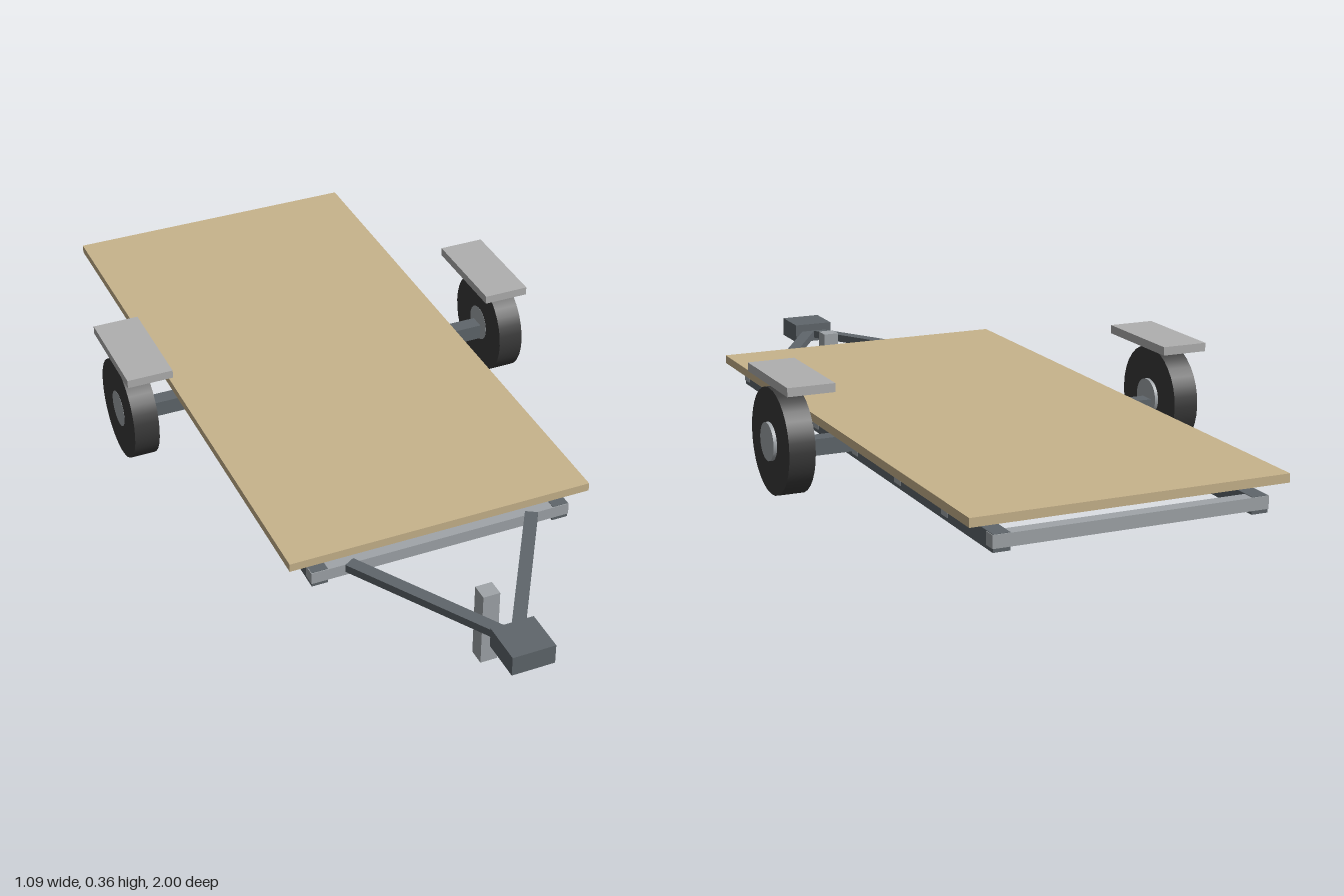
import * as THREE from 'three';

const mat = (color) => new THREE.MeshStandardMaterial({ color });

export function createModel() {
  const trailer = new THREE.Group();
  trailer.name = 'flatbedTrailer';

  const wood = mat(0xc8b48c);
  const darkSteel = mat(0x5f666b);
  const lightSteel = mat(0xa0a5a9);
  const fenderGrey = mat(0xb0b0b0);
  const rubber = mat(0x3a3a3a);

  const add = (name, geometry, material, x, y, z) => {
    const mesh = new THREE.Mesh(geometry, material);
    mesh.name = name;
    mesh.position.set(x, y, z);
    trailer.add(mesh);
    return mesh;
  };
  const box = (name, material, w, h, d, x, y, z) =>
    add(name, new THREE.BoxGeometry(w, h, d), material, x, y, z);
  // Cylinder lying along x
  const disc = (name, material, radius, width, x, y, z) =>
    add(name, new THREE.CylinderGeometry(radius, radius, width, 32).rotateZ(Math.PI / 2), material, x, y, z);

  // Load deck
  box('deck', wood, 0.768, 0.021, 1.54, 0, 0.205, -0.23);

  // Ladder frame: the cross members show at the outer rail faces
  for (const z of [0.525, 0.268, 0.011, -0.245, -0.502, -0.759, -0.985]) {
    box('crossMember', lightSteel, 0.663, 0.03, 0.032, 0, 0.157, z);
  }

  // Axle
  const axleZ = -0.23;
  box('axle', darkSteel, 0.96, 0.04, 0.04, 0, 0.174, axleZ - 0.005);

  // Drawbar arm, running from the frame to the coupling
  const armStart = new THREE.Vector2(0.235, 0.535);
  const armEnd = new THREE.Vector2(0, 0.92);
  const armLength = armStart.distanceTo(armEnd);
  const armAngle = Math.atan2(armEnd.x - armStart.x, armEnd.y - armStart.y);

  for (const side of [-1, 1]) {
    box('sideRail', darkSteel, 0.04, 0.04, 1.538, side * 0.31, 0.153, -0.23);

    const arm = box('drawbarArm', darkSteel, 0.031, 0.02, armLength,
      side * armStart.x / 2, 0.163, (armStart.y + armEnd.y) / 2);
    arm.rotation.y = side * armAngle;

    // Both hubs sit slightly towards +x
    disc('tyre', rubber, 0.128, 0.064, side * 0.503, 0.195, axleZ);
    disc('hub', lightSteel, 0.046, 0.073, side * 0.503 + 0.004, 0.195, axleZ);
    box('fender', fenderGrey, 0.116, 0.021, 0.267, side * 0.485, 0.346, -0.24);
  }

  // Coupling and support leg
  box('coupling', darkSteel, 0.106, 0.05, 0.106, 0, 0.168, 0.947);
  box('supportLeg', lightSteel, 0.042, 0.193, 0.042, 0, 0.0965, 0.773);

  return trailer;
}
